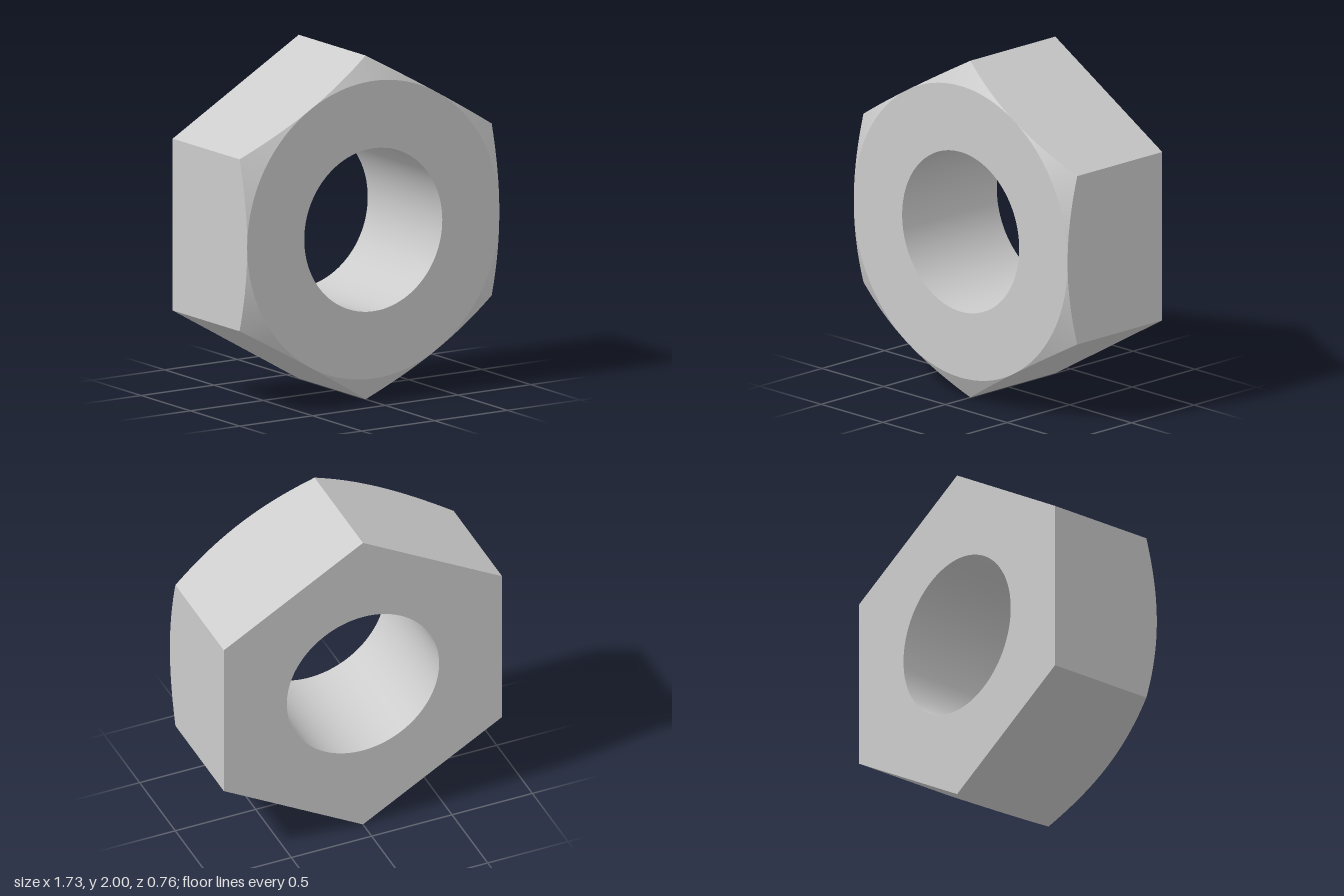
import * as THREE from 'three';
import { toCreasedNormals } from 'three/addons/utils/BufferGeometryUtils.js';

const SEGMENTS = 144;            // steps around the nut, 24 per flat
const PER_FLAT = SEGMENTS / 6;
const FLAT = Math.sqrt(3) / 2;   // centre to flat, corners at radius 1
const HOLE = 0.474;
const HALF = 0.378;              // half thickness
const CHAMFER = Math.tan(Math.PI / 6);

// Radius of the hexagon at step k (corners at top and bottom)
function hexRadius(k) {
  const half = PER_FLAT / 2;
  const offset = ((k + half) % PER_FLAT) - half;
  return FLAT / Math.cos((offset / SEGMENTS) * Math.PI * 2);
}

// Ring of points from a radius rule and a depth rule
function ring(radius, depth) {
  return Array.from({ length: SEGMENTS }, (_, k) => {
    const t = (k / SEGMENTS) * Math.PI * 2;
    const r = radius(k);
    return new THREE.Vector3(r * Math.cos(t), r * Math.sin(t), depth(r));
  });
}

// Surface between two rings, leaving out triangles that shrink to nothing
function band(a, b) {
  const points = [];
  const add = (p, q, r) => {
    if (new THREE.Triangle(p, q, r).getArea() > 1e-9) points.push(p, q, r);
  };
  for (let k = 0; k < SEGMENTS; k++) {
    const n = (k + 1) % SEGMENTS;
    add(a[k], a[n], b[n]);
    add(a[k], b[n], b[k]);
  }
  const geometry = new THREE.BufferGeometry().setFromPoints(points);
  return toCreasedNormals(geometry, Math.PI / 9);
}

export function createModel() {
  const group = new THREE.Group();
  group.name = 'hexNut';
  const material = new THREE.MeshStandardMaterial({ color: 0xcccccc });

  const backHole = ring(() => HOLE, () => -HALF);
  const backHex = ring(hexRadius, () => -HALF);
  const frontHex = ring(hexRadius, (r) => HALF - (r - FLAT) * CHAMFER);
  const frontCircle = ring(() => FLAT, () => HALF);
  const frontHole = ring(() => HOLE, () => HALF);

  const parts = [
    ['backFace', backHole, backHex],
    ['hexSides', backHex, frontHex],
    ['chamfer', frontHex, frontCircle],
    ['frontFace', frontCircle, frontHole],
    ['bore', frontHole, backHole],
  ];
  for (const [name, from, to] of parts) {
    const mesh = new THREE.Mesh(band(from, to), material);
    mesh.name = name;
    mesh.position.y = 1;
    group.add(mesh);
  }
  return group;
}
